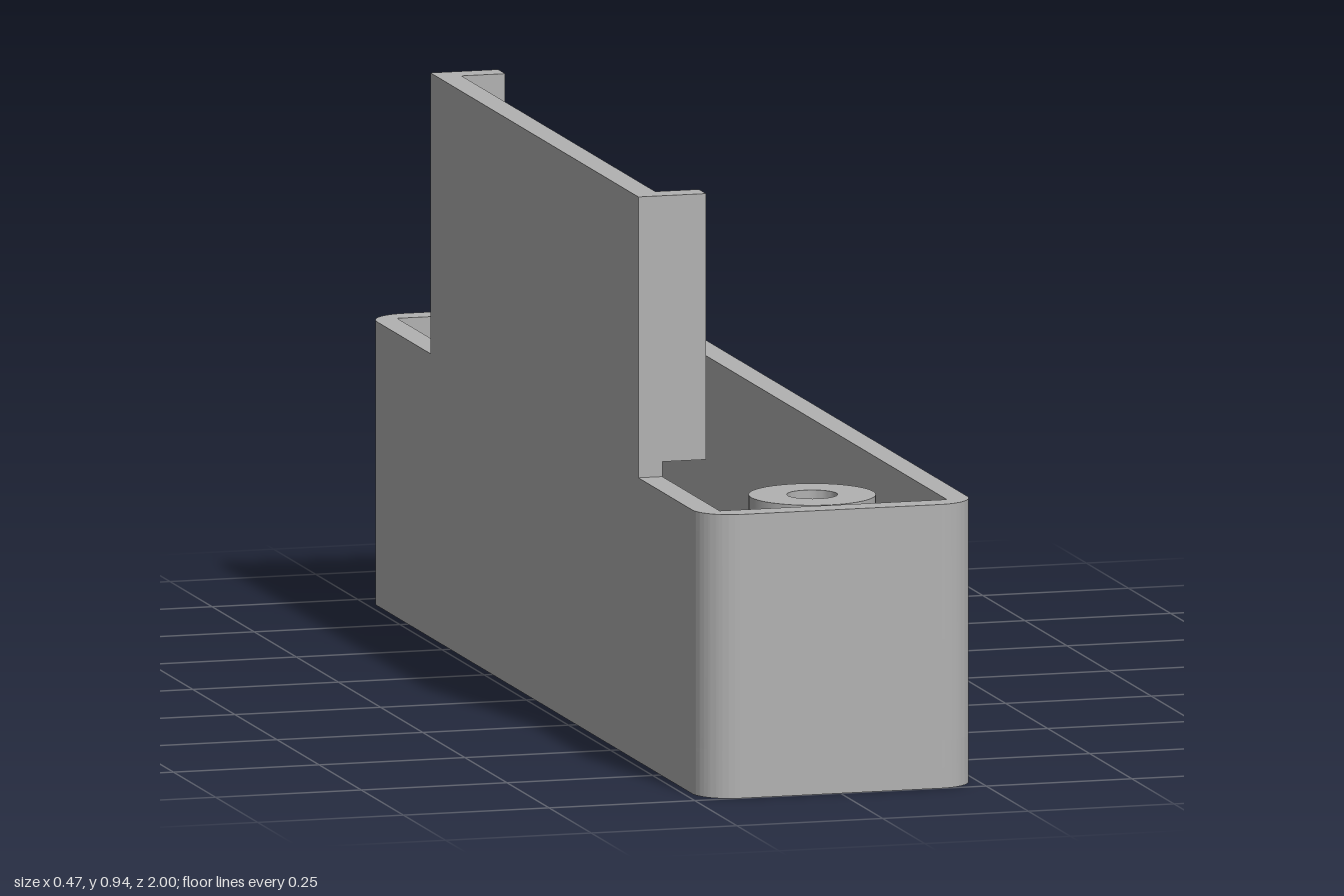
import * as THREE from 'three';
import { toCreasedNormals } from 'three/addons/utils/BufferGeometryUtils.js';

const HALF_X = 0.236, HALF_Z = 1, INNER_X = 0.195, INNER_Z = 0.957, RADIUS = 0.065;
const FLOOR = 0.08, RIM = 0.475, TOP = 0.945;
const POST_Z = 0.832, BORE = 0.079;

// Rounded footprint, drawn in x and z
function footprint() {
  const s = new THREE.Shape();
  const x = HALF_X - RADIUS, z = HALF_Z - RADIUS;
  s.absarc(x, z, RADIUS, 0, Math.PI / 2);
  s.absarc(-x, z, RADIUS, Math.PI / 2, Math.PI);
  s.absarc(-x, -z, RADIUS, Math.PI, Math.PI * 1.5);
  s.absarc(x, -z, RADIUS, Math.PI * 1.5, Math.PI * 2);
  s.closePath();
  return s;
}

// Extrude a footprint upwards from y0 to y1
function slab(shape, y0, y1) {
  const g = new THREE.ExtrudeGeometry(shape, { depth: y1 - y0, bevelEnabled: false, curveSegments: 24 });
  g.rotateX(-Math.PI / 2).translate(0, y0, 0);
  return toCreasedNormals(g, 0.6);
}

export function createModel() {
  const model = new THREE.Group();
  model.name = 'mountingTray';
  const grey = new THREE.MeshStandardMaterial({ color: 0xb2b2b2 });
  grey.name = 'light grey';

  const add = (name, geometry) => {
    const mesh = new THREE.Mesh(geometry, grey);
    mesh.name = name;
    model.add(mesh);
    return mesh;
  };
  const block = (name, x0, x1, y0, y1, z0, z1) =>
    add(name, new THREE.BoxGeometry(x1 - x0, y1 - y0, z1 - z0))
      .position.set((x0 + x1) / 2, (y0 + y1) / 2, (z0 + z1) / 2);

  // Floor with two screw recesses and two cable holes
  const floor = footprint();
  for (const [x, z] of [[0, POST_Z], [0, -POST_Z], [0.07, 0.357], [0.07, -0.357]]) {
    floor.holes.push(new THREE.Path().absarc(x, z, BORE, 0, Math.PI * 2, true));
  }
  add('floor', slab(floor, 0, FLOOR));

  // Outer wall with a square-cornered cavity
  const wall = footprint();
  wall.holes.push(new THREE.Path([
    [-INNER_X, -INNER_Z], [-INNER_X, INNER_Z], [INNER_X, INNER_Z], [INNER_X, -INNER_Z],
  ].map(([x, z]) => new THREE.Vector2(x, z))));
  add('wall', slab(wall, FLOOR, RIM));

  // Hollow screw posts: narrow hole above, wide recess below
  const profile = [
    [0.105, FLOOR], [0.105, 0.472], [0.042, 0.472], [0.042, 0.39], [BORE, 0.39], [BORE, FLOOR],
  ].map(([r, y]) => new THREE.Vector2(r, y));
  const post = toCreasedNormals(new THREE.LatheGeometry(profile, 48), 0.6);

  // Raised side plate with a lip at each end
  block('sidePlate', -HALF_X, -INNER_X, RIM, TOP, -0.617, 0.617);

  for (const side of [1, -1]) {
    add(side > 0 ? 'frontPost' : 'backPost', post).position.z = side * POST_Z;
    const z = side * 0.596;
    block(side > 0 ? 'frontLip' : 'backLip', -INNER_X, -0.12, 0.5, TOP, z - 0.021, z + 0.021);
  }
  return model;
}
